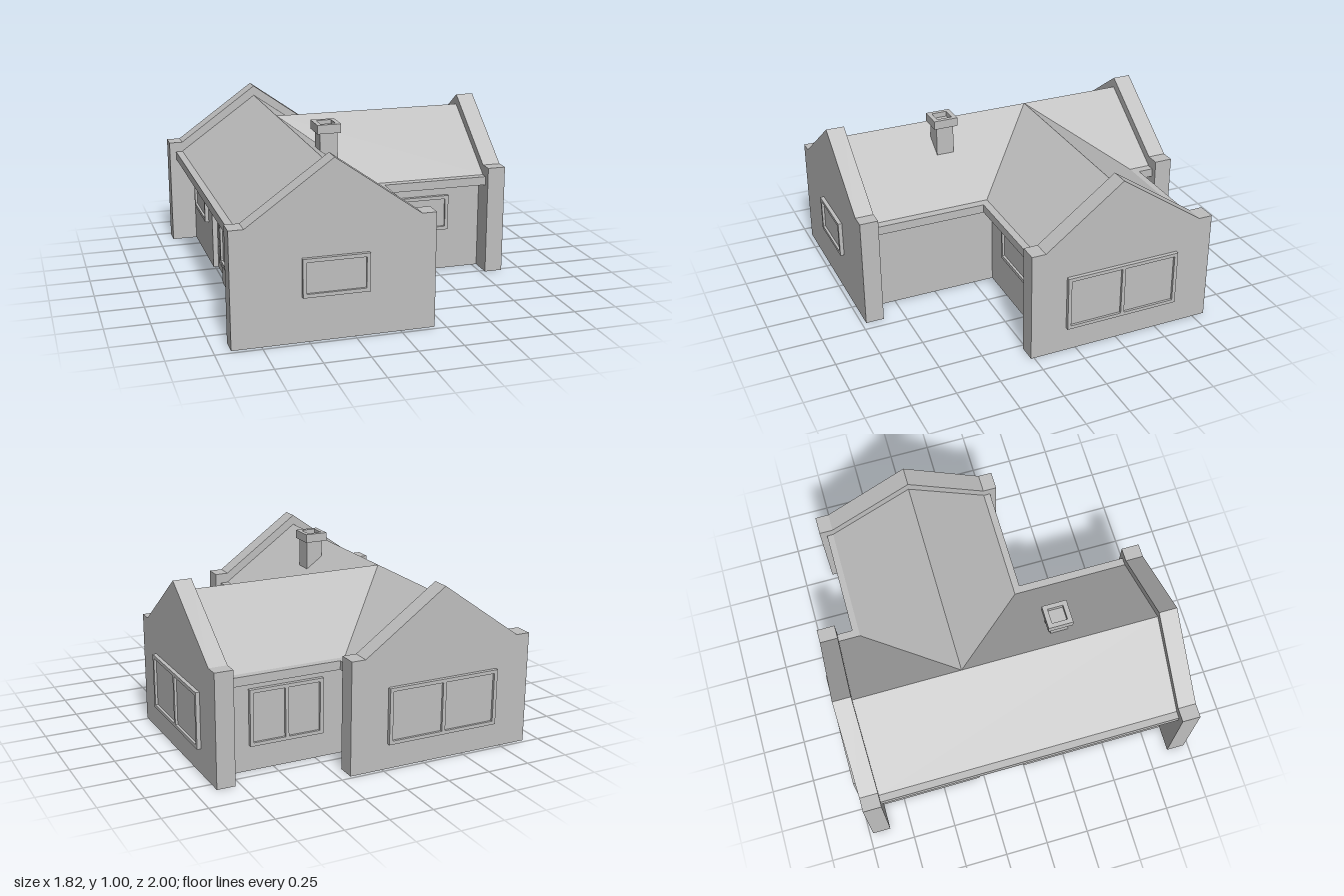
import * as THREE from 'three';

const grey = new THREE.MeshStandardMaterial({ color: 0xbfbfbf });
grey.name = 'plain grey';
const greySheet = new THREE.MeshStandardMaterial({ color: 0xbfbfbf, side: THREE.DoubleSide });
greySheet.name = 'plain grey sheet';

function mesh(name, geometry, parent, material = grey) {
  const m = new THREE.Mesh(geometry, material);
  m.name = name;
  parent.add(m);
  return m;
}

// Box given by its limits on each axis
function block(name, parent, x0, x1, y0, y1, z0, z1) {
  const m = mesh(name, new THREE.BoxGeometry(x1 - x0, y1 - y0, z1 - z0), parent);
  m.position.set((x0 + x1) / 2, (y0 + y1) / 2, (z0 + z1) / 2);
  return m;
}

function rectPath(x0, x1, y0, y1, Type = THREE.Path) {
  return new Type([[x0, y0], [x1, y0], [x1, y1], [x0, y1]].map(p => new THREE.Vector2(...p)));
}

// Flat plate in x/y with rectangular holes, extruded along +z
function plate(outer, holes, depth) {
  const shape = rectPath(...outer, THREE.Shape);
  for (const h of holes) shape.holes.push(rectPath(...h));
  return new THREE.ExtrudeGeometry(shape, { depth, bevelEnabled: false });
}

// Parapet gable with flat shoulders; profile lies in x/y, thickness along +z
function gable(name, parent, left, right, shoulderL, shoulderR, apex, depth) {
  const pts = [[left, 0], [right, 0], [right, 0.64], [shoulderR, 0.64], [apex, 0.975], [shoulderL, 0.64], [left, 0.64]];
  const shape = new THREE.Shape(pts.map(p => new THREE.Vector2(...p)));
  return mesh(name, new THREE.ExtrudeGeometry(shape, { depth, bevelEnabled: false }), parent);
}

// Framed window facing local +z, centred on its own origin
function framed(name, parent, w, h, holes, pos, turn) {
  const g = new THREE.Group();
  g.name = name;
  mesh('frame', plate([-w / 2, w / 2, -h / 2, h / 2], holes, 0.022), g);
  for (const [x0, x1, y0, y1] of holes) block('pane', g, x0, x1, y0, y1, 0, 0.008);
  g.position.set(...pos);
  g.rotation.y = turn;
  parent.add(g);
}

function windowUnit(name, parent, w, h, panes, pos, turn = 0) {
  const t = 0.02, pw = (w - t * (panes + 1)) / panes, holes = [];
  for (let i = 0; i < panes; i++) {
    const x = -w / 2 + t + i * (pw + t);
    holes.push([x, x + pw, -h / 2 + t, h / 2 - t]);
  }
  framed(name, parent, w, h, holes, pos, turn);
}

// Flat roof slope from its four corners
function slope(name, parent, corners) {
  const g = new THREE.BufferGeometry();
  const order = [0, 1, 2, 0, 2, 3];
  g.setAttribute('position', new THREE.Float32BufferAttribute(order.flatMap(i => corners[i]), 3));
  g.computeVertexNormals();
  mesh(name, g, parent, greySheet);
}

export function createModel() {
  const house = new THREE.Group();
  house.name = 'house';

  // Gables
  gable('frontGable', house, -0.91, 0.19, -0.83, 0.11, -0.36, 0.105).position.z = 0.87;
  gable('backGable', house, -0.91, 0.19, -0.83, 0.11, -0.36, 0.105).position.z = -0.98;
  const side = gable('wingGable', house, -0.268, 0.824, -0.188, 0.745, 0.26, 0.105);
  side.rotation.y = Math.PI / 2;
  side.position.x = 0.78;

  // Walls, with a door recess on the -x side
  const t = 0.015, top = 0.58;
  block('mainFrontWall', house, 0.04 - t, 0.04, 0, top, 0.13 - t, 0.87);
  block('mainRearWall', house, 0.04 - t, 0.04, 0, top, -0.875, -0.68 + t);
  block('wingFrontWall', house, 0.04, 0.78, 0, top, 0.13 - t, 0.13);
  block('wingBackWall', house, 0.04, 0.78, 0, top, -0.68, -0.68 + t);
  block('sideWallFront', house, -0.76, -0.76 + t, 0, top, 0, 0.87);
  block('sideWallRear', house, -0.76, -0.76 + t, 0, top, -0.875, -0.28);
  block('doorWall', house, -0.71, -0.71 + t, 0, top, -0.28, 0);
  block('recessSideFront', house, -0.76, -0.71 + t, 0, top, 0, t);
  block('recessSideRear', house, -0.76, -0.71 + t, 0, top, -0.28 - t, -0.28);

  // Flat eaves
  block('sideEave', house, -0.87, -0.71, 0.53, 0.58, -0.875, 0.87);
  block('mainFrontEave', house, 0.04, 0.155, 0.53, 0.58, 0.23, 0.87);
  block('mainRearEave', house, 0.04, 0.155, 0.53, 0.58, -0.875, -0.785);
  block('wingFrontEave', house, 0.04, 0.78, 0.53, 0.58, 0.13, 0.23);
  block('wingBackEave', house, 0.04, 0.78, 0.53, 0.58, -0.785, -0.68);

  // Roof slopes meeting at the valleys
  const R = 0.915, E = 0.582;
  const peak = [-0.36, R, -0.26], valleyF = [0.11, E, 0.19], valleyB = [0.11, E, -0.748];
  slope('mainRoofLeft', house, [[-0.83, E, -0.875], [-0.83, E, 0.87], [-0.36, R, 0.87], [-0.36, R, -0.875]]);
  slope('mainRoofFront', house, [[-0.36, R, 0.87], [0.11, E, 0.87], valleyF, peak]);
  slope('mainRoofRear', house, [peak, valleyB, [0.11, E, -0.875], [-0.36, R, -0.875]]);
  slope('wingRoofFront', house, [peak, valleyF, [0.78, E, 0.19], [0.78, R, -0.26]]);
  slope('wingRoofBack', house, [peak, [0.78, R, -0.26], [0.78, E, -0.748], valleyB]);

  // Windows
  const q = Math.PI / 2;
  windowUnit('frontWindow', house, 0.36, 0.21, 1, [-0.355, 0.355, 0.975]);
  windowUnit('wingFrontWindow', house, 0.36, 0.21, 1, [0.4, 0.355, 0.13]);
  windowUnit('wingGableWindow', house, 0.67, 0.32, 2, [0.885, 0.305, -0.275], q);
  windowUnit('backWindow', house, 0.67, 0.32, 2, [-0.365, 0.305, -0.98], 2 * q);
  windowUnit('wingBackWindow', house, 0.43, 0.32, 2, [0.425, 0.305, -0.68], 2 * q);
  windowUnit('sideLargeWindow', house, 0.7, 0.32, 2, [-0.76, 0.305, 0.41], -q);
  windowUnit('sideSmallWindow', house, 0.36, 0.21, 1, [-0.76, 0.355, -0.58], -q);

  // Door with a tall upper light and a low panel
  framed('door', house, 0.26, 0.5, [[-0.09, 0.09, -0.06, 0.21], [-0.09, 0.09, -0.21, -0.1]],
    [-0.71, 0.25, -0.14], -q);

  // Chimney with a hollow cap
  block('chimneyStack', house, -0.27, -0.17, 0.78, 0.97, 0.278, 0.38);
  const cap = mesh('chimneyCap', plate([-0.29, -0.155, -0.397, -0.255], [[-0.265, -0.18, -0.37, -0.282]], 0.05), house);
  cap.rotation.x = -q;
  cap.position.y = 0.95;

  return house;
}
